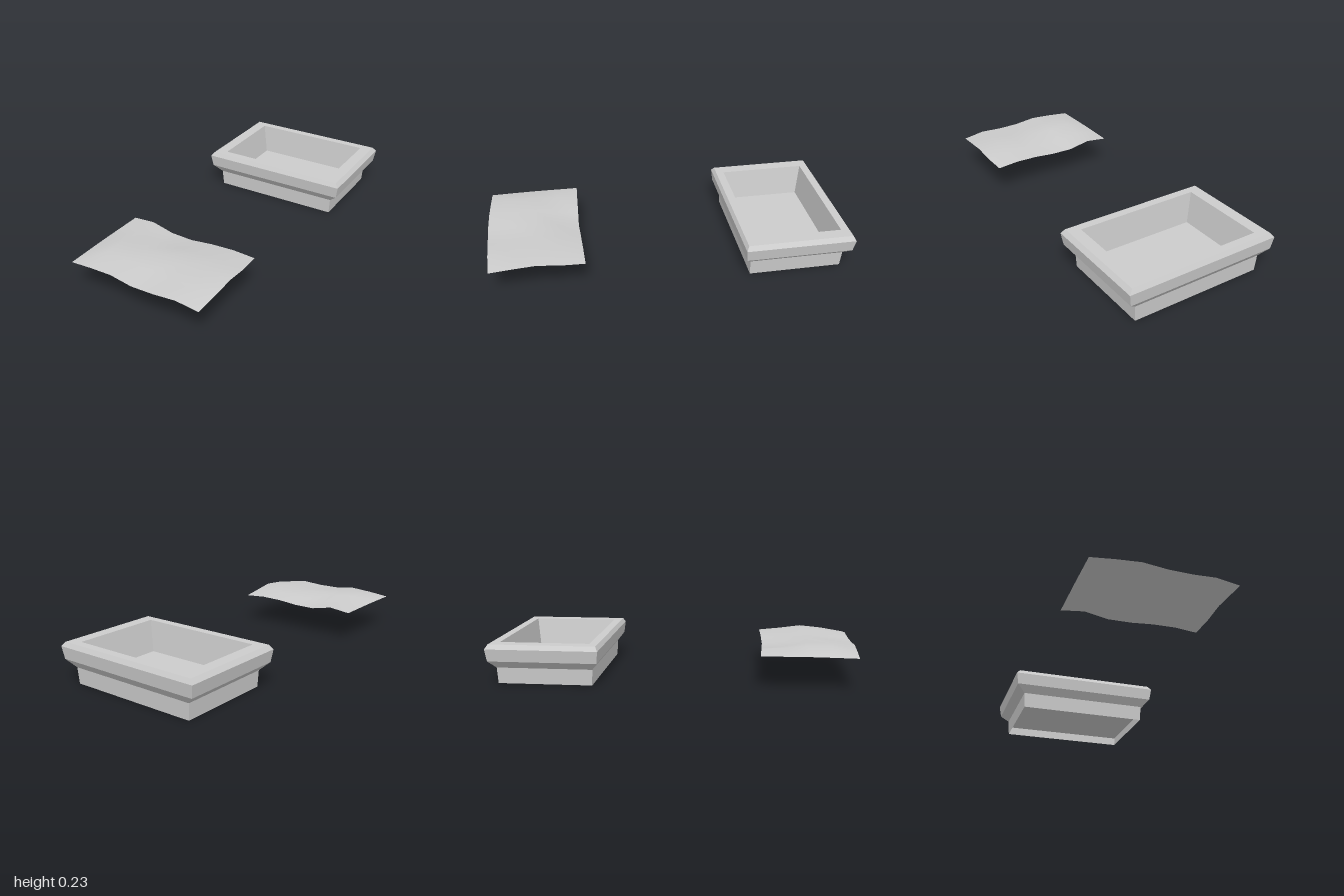
import * as THREE from 'three';
import { toCreasedNormals } from 'three/addons/utils/BufferGeometryUtils.js';

const material = new THREE.MeshStandardMaterial({ color: 0xcccccc, side: THREE.DoubleSide });
const DEPTH = 0.69; // depth of the basin relative to its width

function addMesh(parent, name, geometry) {
  const mesh = new THREE.Mesh(geometry, material);
  mesh.name = name;
  parent.add(mesh);
}

// Horizontal rectangle across the inside of the basin
function panel(halfWidth, y) {
  return new THREE.PlaneGeometry(halfWidth * 2, halfWidth * 2 * DEPTH)
    .rotateX(-Math.PI / 2)
    .translate(0, y, 0);
}

function createBasin() {
  const basin = new THREE.Group();
  basin.name = 'basin';

  // Half width and height: up the moulded outside, over the rim, down the inside
  const profile = [
    [0.38, 0], [0.386, 0.09], [0.435, 0.135], [0.447, 0.204],
    [0.427, 0.228], [0.36, 0.228], [0.326, 0.055],
  ].map(([w, y]) => new THREE.Vector2(w * Math.SQRT2, y));
  const walls = new THREE.LatheGeometry(profile, 4, Math.PI / 4);
  walls.scale(1, 1, DEPTH);
  addMesh(basin, 'basinWalls', toCreasedNormals(walls, Math.PI / 6));

  addMesh(basin, 'basinFloor', panel(0.326, 0.055));
  addMesh(basin, 'recessedUnderside', panel(0.383, 0.05));

  basin.position.z = -0.692;
  return basin;
}

function createSheet() {
  // Heights of the ripples, from the back row to the front row
  const heights = [
    [0.187, 0.200, 0.173, 0.172, 0.185, 0.189, 0.180],
    [0.188, 0.207, 0.187, 0.188, 0.198, 0.206, 0.192],
    [0.189, 0.222, 0.212, 0.214, 0.207, 0.218, 0.209],
    [0.188, 0.219, 0.212, 0.202, 0.197, 0.206, 0.198],
    [0.186, 0.198, 0.205, 0.188, 0.188, 0.197, 0.179],
  ];
  const cols = heights[0].length - 1;
  const rows = heights.length - 1;
  const sheet = new THREE.PlaneGeometry(2, 2, cols, rows).rotateX(-Math.PI / 2);
  const p = sheet.attributes.position;
  for (let i = 0; i < p.count; i++) {
    const u = p.getX(i);
    const v = p.getZ(i);
    const y = heights[Math.floor(i / (cols + 1))][i % (cols + 1)];
    // The right-hand edge bows out, the front and back edges drift slightly
    const x = -0.005 + u * 0.385 + Math.max(u, 0) * (0.009 - 0.014 * v * v);
    const z = 0.733 + v * 0.255 + 0.012 * (1 - Math.abs(u)) * Math.abs(v);
    p.setXYZ(i, x, y, z);
  }
  sheet.computeVertexNormals();
  return sheet;
}

export function createModel() {
  const model = new THREE.Group();
  model.name = 'basinAndSheet';
  model.add(createBasin());
  addMesh(model, 'rippledSheet', createSheet());
  return model;
}
